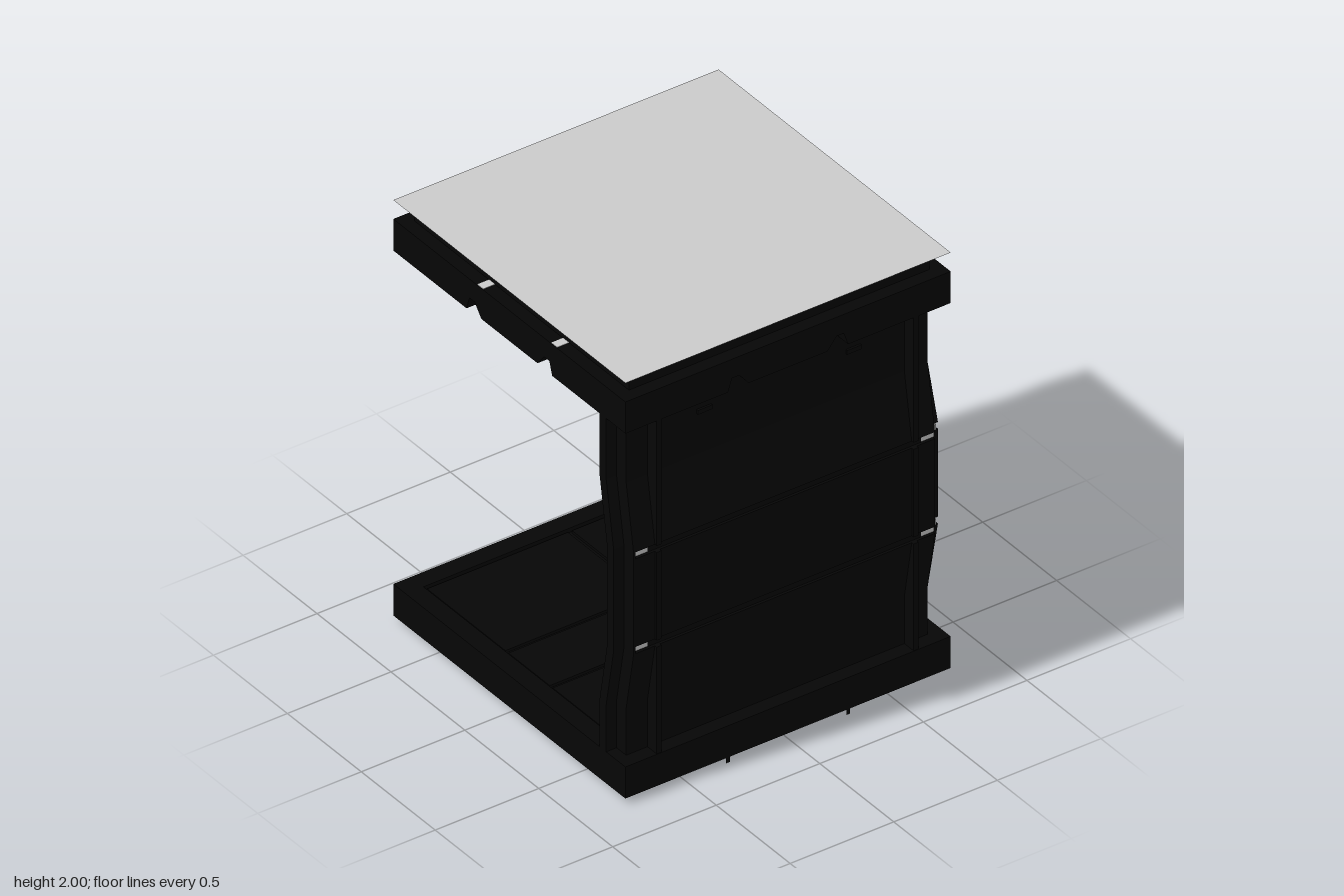
import * as THREE from 'three';

const dark = new THREE.MeshStandardMaterial({ color: 0x060606 });
const grey = new THREE.MeshStandardMaterial({ color: 0xcccccc });
const greySheet = new THREE.MeshStandardMaterial({ color: 0xcccccc, side: THREE.DoubleSide });
const darkSheet = new THREE.MeshStandardMaterial({ color: 0x060606, side: THREE.DoubleSide });

const HALF = 0.785;      // half width of floor and roof
const FLOOR_TOP = 0.17;
const SEAMS = [0.698, 1.148];

function add(parent, name, geometry, material = dark) {
  const mesh = new THREE.Mesh(geometry, material);
  mesh.name = name;
  parent.add(mesh);
  return mesh;
}

// Box given by its minimum and maximum corners
function box(parent, name, a, b, material = dark) {
  const mesh = add(parent, name, new THREE.BoxGeometry(b[0] - a[0], b[1] - a[1], b[2] - a[2]), material);
  mesh.position.set((a[0] + b[0]) / 2, (a[1] + b[1]) / 2, (a[2] + b[2]) / 2);
  return mesh;
}

const polygon = pts => new THREE.Shape(pts.map(p => new THREE.Vector2(p[0], p[1])));

// Extrudes a wall section of [offset, y] points along x; offset points to -z
function wallRun(profile, x0, x1) {
  const g = new THREE.ExtrudeGeometry(polygon(profile), { depth: x1 - x0, bevelEnabled: false });
  g.rotateY(Math.PI / 2);
  g.translate(x0, 0, 0);
  return g;
}

// Section following rows of [y, bow] between two offsets
function section(rows, innerOffset, outerOffset) {
  const outer = rows.map(([y, b]) => [outerOffset + b, y]);
  const inner = rows.map(([y, b]) => [innerOffset + b, y]).reverse();
  return [...outer, ...inner];
}

const bowRows = [[FLOOR_TOP, 0], [0.4, 0], [0.68, 0.05], [1.165, 0.05], [1.47, 0], [1.83, 0]];
const panelRows = [
  [[FLOOR_TOP, 0], [0.4, 0], [SEAMS[0] - 0.016, 0.05]],
  [[SEAMS[0] + 0.016, 0.05], [SEAMS[1] - 0.016, 0.05]],
  [[SEAMS[1] + 0.016, 0.05], [1.47, 0], [1.83, 0]]];

// A wall along the back edge; free is -1 or 1 for the side of its free end
function buildWall(name, free) {
  const wall = new THREE.Group();
  wall.name = name;
  const span = (a, b) => [a * free, b * free].sort((p, q) => p - q);

  // Three thin bowed panels, and the post on the free end
  for (const rows of panelRows)
    add(wall, 'bowedPanel', wallRun(section(rows, 0.698, 0.72), ...span(-0.72, 0.73)));
  add(wall, 'endPost', wallRun(section(bowRows, 0.61, 0.72), ...span(0.725, 0.735)));
  add(wall, 'endPostLip', wallRun(section(bowRows, 0.61, 0.655), ...span(0.73, HALF)));

  // Narrow upright ribs on the outside, broken at the seams
  for (const [y0, y1] of [[FLOOR_TOP, SEAMS[0] - 0.016], [SEAMS[0] + 0.016, SEAMS[1] - 0.016], [SEAMS[1] + 0.016, 1.77]])
    for (const x of [-0.62, 0.62])
      box(wall, 'outerRib', [x - 0.012, y0, -0.782], [x + 0.012, y1, -0.71]);

  // Backing strip in each seam with a light at both ends
  for (const y of SEAMS) {
    box(wall, 'seamStrip', [-0.66, y - 0.03, -0.758], [0.66, y + 0.03, -0.738]);
    for (const x of [-0.692, 0.692])
      box(wall, 'seamLight', [x - 0.032, y - 0.014, -0.758], [x + 0.032, y + 0.014, -0.742], grey);
  }

  // Rails and clips near the top
  const [r0, r1] = span(-0.6, 0.72);
  for (const y of [1.645, 1.69])
    box(wall, 'wallRail', [r0, y - 0.012, -0.7], [r1, y + 0.012, -0.675]);
  for (const x of [-0.37, 0.35, 0.7])
    box(wall, 'railClip', [x * free - 0.035, 1.62, -0.7], [x * free + 0.035, 1.71, -0.665]);
  for (const x of [-0.36, 0.36])
    box(wall, 'outerClip', [x - 0.035, 1.665, -0.73], [x + 0.035, 1.685, -0.715]);
  return wall;
}

function buildFloor() {
  const floor = new THREE.Group();
  floor.name = 'floor';
  box(floor, 'floorSlab', [-0.71, 0.045, -0.71], [0.71, 0.155, 0.71]);

  // Raised border around the slab
  const border = polygon([[-HALF, -HALF], [HALF, -HALF], [HALF, HALF], [-HALF, HALF]]);
  border.holes.push(polygon([[-0.7, -0.7], [-0.7, 0.7], [0.7, 0.7], [0.7, -0.7]]));
  const rim = new THREE.ExtrudeGeometry(border, { depth: 0.15, bevelEnabled: false });
  rim.rotateX(-Math.PI / 2);
  add(floor, 'floorRim', rim).position.y = 0.025;

  // Floor plates with narrow gaps and a stepped joint, mirrored front to back
  const plates = [
    [[-0.69, 0.01], [-0.24, 0.01], [-0.16, 0.09], [-0.16, 0.69], [-0.69, 0.69]],
    [[-0.22, 0.01], [0.22, 0.01], [0.14, 0.09], [-0.14, 0.09]],
    [[-0.14, 0.11], [0.14, 0.11], [0.14, 0.69], [-0.14, 0.69]],
    [[0.24, 0.01], [0.69, 0.01], [0.69, 0.69], [0.16, 0.69], [0.16, 0.09]]];
  for (const turn of [0, Math.PI])
    for (const outline of plates) {
      const g = new THREE.ExtrudeGeometry(polygon(outline), { depth: 0.015, bevelEnabled: false });
      g.rotateX(-Math.PI / 2);
      g.rotateY(turn);
      add(floor, 'floorPlate', g).position.y = 0.152;
    }

  // Flat locating tabs below both side edges
  for (const x of [-HALF, HALF])
    for (const z of [-0.29, 0.29]) {
      const tab = new THREE.PlaneGeometry(0.018, 0.04);
      tab.rotateY(Math.PI / 2);
      add(floor, 'locatingTab', tab).position.set(x, 0.02, z);
    }
  return floor;
}

function buildRoof() {
  const roof = new THREE.Group();
  roof.name = 'roof';
  box(roof, 'ceilingPanel', [-0.725, 1.82, -0.725], [0.725, 1.965, 0.725]);

  // Fascias with two notches in the lower edge; the open side has a plain one
  const notched = polygon([[-HALF, 1.76], [-0.29, 1.76], [-0.27, 1.82], [-0.235, 1.82], [-0.19, 1.765],
    [0.19, 1.765], [0.235, 1.82], [0.27, 1.82], [0.29, 1.76], [HALF, 1.76], [HALF, 1.91], [-HALF, 1.91]]);
  const plain = polygon([[-HALF, 1.76], [HALF, 1.76], [HALF, 1.91], [-HALF, 1.91]]);
  [notched, notched, notched, plain].forEach((shape, i) => {
    const g = new THREE.ExtrudeGeometry(shape, { depth: 0.075, bevelEnabled: false });
    g.translate(0, 0, HALF - 0.075);
    add(roof, 'roofFascia', g).rotation.y = i * Math.PI / 2;
  });

  // Upright brackets at front and back, small lights on the front ledge
  for (const s of [-1, 1]) {
    const bracket = polygon([[s * 0.285, 1.91], [s * 0.285, 1.999], [s * 0.235, 1.999], [s * 0.205, 1.955], [s * 0.205, 1.91]]);
    for (const z of [-0.7, 0.7])
      add(roof, 'roofBracket', new THREE.ShapeGeometry(bracket), darkSheet).position.z = z;
    const x = s * 0.25 + 0.05;
    box(roof, 'ledgeLight', [x - 0.02, 1.9, 0.725], [x + 0.02, 1.912, 0.783], grey);
  }

  // Flat cover sheet above the roof
  const sheet = new THREE.PlaneGeometry(2 * HALF, 2 * HALF);
  sheet.rotateX(-Math.PI / 2);
  add(roof, 'coverSheet', sheet, greySheet).position.y = 2;
  return roof;
}

export function createModel() {
  const model = new THREE.Group();
  model.name = 'roomModule';
  const sideWall = buildWall('sideWall', 1);
  sideWall.rotation.y = -Math.PI / 2;
  model.add(buildFloor(), buildWall('backWall', -1), sideWall, buildRoof());
  return model;
}
